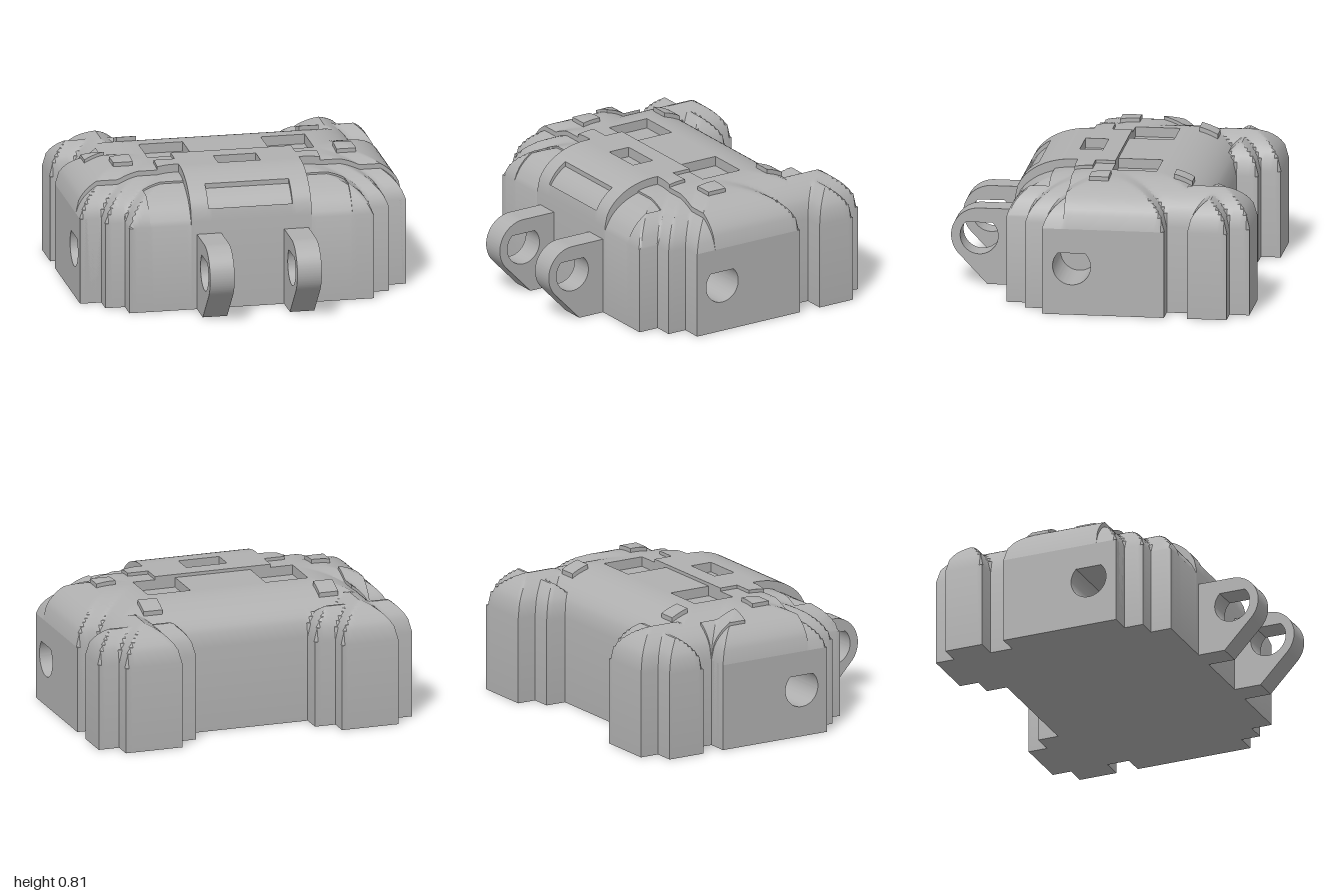
import * as THREE from 'three';
import { toCreasedNormals } from 'three/addons/utils/BufferGeometryUtils.js';

const WALL = 0.53; // top of the upright walls
const stone = new THREE.MeshStandardMaterial({ color: 0xb0b0b0 });
stone.name = 'plain grey';

// Pillow-topped blocks: x0, x1, z0, z1
const blocks = [
  [-1, 1, -0.44, 0.3],
  [-0.87, 0.87, -0.69, 0.42],
  [-0.75, 0.75, -0.69, 0.55],
];
for (const s of [1, -1]) {
  for (const [a, b, z0, z1] of [[0.38, 1, -0.82, -0.58], [0.51, 0.87, -0.94, -0.4]]) {
    blocks.push([Math.min(a * s, b * s), Math.max(a * s, b * s), z0, z1]);
  }
}

// Raised and sunken areas: x0, x1, z0, z1, change in height
const details = [
  [-0.37, 0.37, -0.06, 0.55, 0.02], // muzzle
  [-0.26, 0.255, 0.42, 0.535, -0.03], // mouth
  [-0.13, 0.13, 0.05, 0.19, -0.06], // nose
  [-0.87, -0.75, -0.44, -0.2, 0.02], // single side spot
];
for (const s of [1, -1]) {
  const pair = [
    [0.37, 0.5, 0.06, 0.17, 0.02], // muzzle side
    [0.37, 1, 0.17, 0.55, -0.03], // cheek
    [0.37, 0.62, 0.31, 0.55, -0.012], // lower cheek
    [0.24, 0.51, -0.33, -0.06, -0.06], // eye
    [0.625, 0.745, -0.07, 0.05, 0.025], // middle spot
    [0.5, 0.62, -0.56, -0.45, 0.028], // rear spot
  ];
  for (const [a, b, z0, z1, h] of pair) {
    details.push([Math.min(a * s, b * s), Math.max(a * s, b * s), z0, z1, h]);
  }
}

const inside = (r, x, z) => x > r[0] && x < r[1] && z > r[2] && z < r[3];

// Elliptical rise from the nearest edge of a block
function pillow(r, x, z) {
  const d = Math.min(x - r[0], r[1] - x, z - r[2], r[3] - z, 0.35);
  const t = 1 - Math.max(d, 0) / 0.35;
  return WALL + 0.25 * Math.sqrt(1 - t * t);
}

// Grid lines at every feature edge, subdivided between
function gridLines(i) {
  const edges = [...new Set([...blocks, ...details].flatMap((r) => [r[i], r[i + 1]]))].sort((a, b) => a - b);
  const lines = [edges[0]];
  for (let k = 1; k < edges.length; k++) {
    const a = edges[k - 1], n = Math.ceil((edges[k] - a) / 0.02 - 1e-6);
    for (let j = 1; j <= n; j++) lines.push(a + ((edges[k] - a) * j) / n);
  }
  return lines;
}

function bodyGeometry() {
  const xs = gridLines(0), zs = gridLines(2), pos = [];
  const tri = (a, b, c) => pos.push(...a, ...b, ...c);
  const quad = (a, b, c, d) => { tri(a, b, c); tri(a, c, d); };

  // Corner heights of one cell in the order back-left, front-left, front-right, back-right
  const cells = xs.slice(1).map((x1, i) => zs.slice(1).map((z1, j) => {
    const x0 = xs[i], z0 = zs[j], cx = (x0 + x1) / 2, cz = (z0 + z1) / 2;
    const own = blocks.filter((r) => inside(r, cx, cz));
    if (!own.length) return null;
    const lift = details.reduce((sum, r) => sum + (inside(r, cx, cz) ? r[4] : 0), 0);
    return [[x0, z0], [x0, z1], [x1, z1], [x1, z0]].map(([x, z]) => {
      const y = Math.max(...own.map((r) => pillow(r, x, z))) + lift;
      return [x, Math.max(y, WALL), z];
    });
  }));

  // Each side: neighbour offset, own corners, matching neighbour corners
  const sides = [
    [-1, 0, 0, 1, 3, 2], [0, 1, 1, 2, 0, 3], [1, 0, 2, 3, 1, 0], [0, -1, 3, 0, 2, 1],
  ];
  const ground = (p) => [p[0], 0, p[2]];
  cells.forEach((column, i) => column.forEach((c, j) => {
    if (!c) return;
    quad(c[0], c[1], c[2], c[3]);
    quad(ground(c[3]), ground(c[2]), ground(c[1]), ground(c[0]));
    for (const [di, dj, a, b, na, nb] of sides) {
      const other = cells[i + di]?.[j + dj];
      const pa = c[a], pb = c[b];
      let qa, qb;
      if (other) {
        qa = other[na];
        qb = other[nb];
      } else {
        // The outer flanks are closed by the pierced plates
        const flank = Math.abs(pa[0]) > 0.999 && Math.abs(pb[0]) > 0.999 && pa[2] > -0.45;
        const y = flank ? WALL : 0;
        qa = [pa[0], y, pa[2]];
        qb = [pb[0], y, pb[2]];
      }
      if (pa[1] + pb[1] > qa[1] + qb[1] + 1e-4) quad(pa, qa, qb, pb);
    }
  }));
  const g = new THREE.BufferGeometry();
  g.setAttribute('position', new THREE.Float32BufferAttribute(pos, 3));
  return toCreasedNormals(g, 0.5);
}

// Round hole with a pointed top
function teardrop(u, y, r) {
  const p = new THREE.Path();
  p.moveTo(u, y + r * Math.SQRT2);
  p.absarc(u, y, r, Math.PI * 0.75, Math.PI * 0.25, false);
  p.closePath();
  return p;
}

function extrude(shape, depth) {
  const g = new THREE.ExtrudeGeometry(shape, { depth, bevelEnabled: false, curveSegments: 32 });
  return toCreasedNormals(g, 0.5);
}

function add(parent, name, geometry) {
  const mesh = new THREE.Mesh(geometry, stone);
  mesh.name = name;
  parent.add(mesh);
  return mesh;
}

export function createModel() {
  const model = new THREE.Group();
  model.name = 'blockHead';
  add(model, 'body', bodyGeometry());

  // Flanks with a blind teardrop socket
  for (const s of [1, -1]) {
    const flank = new THREE.Group();
    flank.name = s > 0 ? 'leftFlank' : 'rightFlank';
    const shape = new THREE.Shape();
    const u0 = Math.min(-s * 0.3, s * 0.44), u1 = Math.max(-s * 0.3, s * 0.44);
    shape.moveTo(u0, 0).lineTo(u1, 0).lineTo(u1, WALL).lineTo(u0, WALL).closePath();
    shape.holes.push(teardrop(-s * 0.12, 0.3, 0.115));
    add(flank, 'socketWall', extrude(shape, 0.35)).position.z = -0.35;
    add(flank, 'socketEnd', new THREE.BoxGeometry(0.3, 0.36, 0.02)).position.set(-s * 0.12, 0.32, -0.36);
    flank.rotation.y = (s * Math.PI) / 2;
    flank.position.x = s;
    model.add(flank);
  }

  // Front hanging lugs
  const lug = new THREE.Shape();
  lug.moveTo(-0.54, 0).lineTo(-0.72, 0);
  lug.absarc(-0.77, 0.3, 0.17, Math.PI * 1.25, Math.PI * 0.5, true);
  lug.lineTo(-0.54, 0.47).closePath();
  lug.holes.push(teardrop(-0.77, 0.3, 0.115));
  for (const [name, x] of [['rightLug', -0.335], ['leftLug', 0.2]]) {
    const mesh = add(model, name, extrude(lug, 0.15));
    mesh.rotation.y = Math.PI / 2;
    mesh.position.x = x;
  }
  return model;
}
